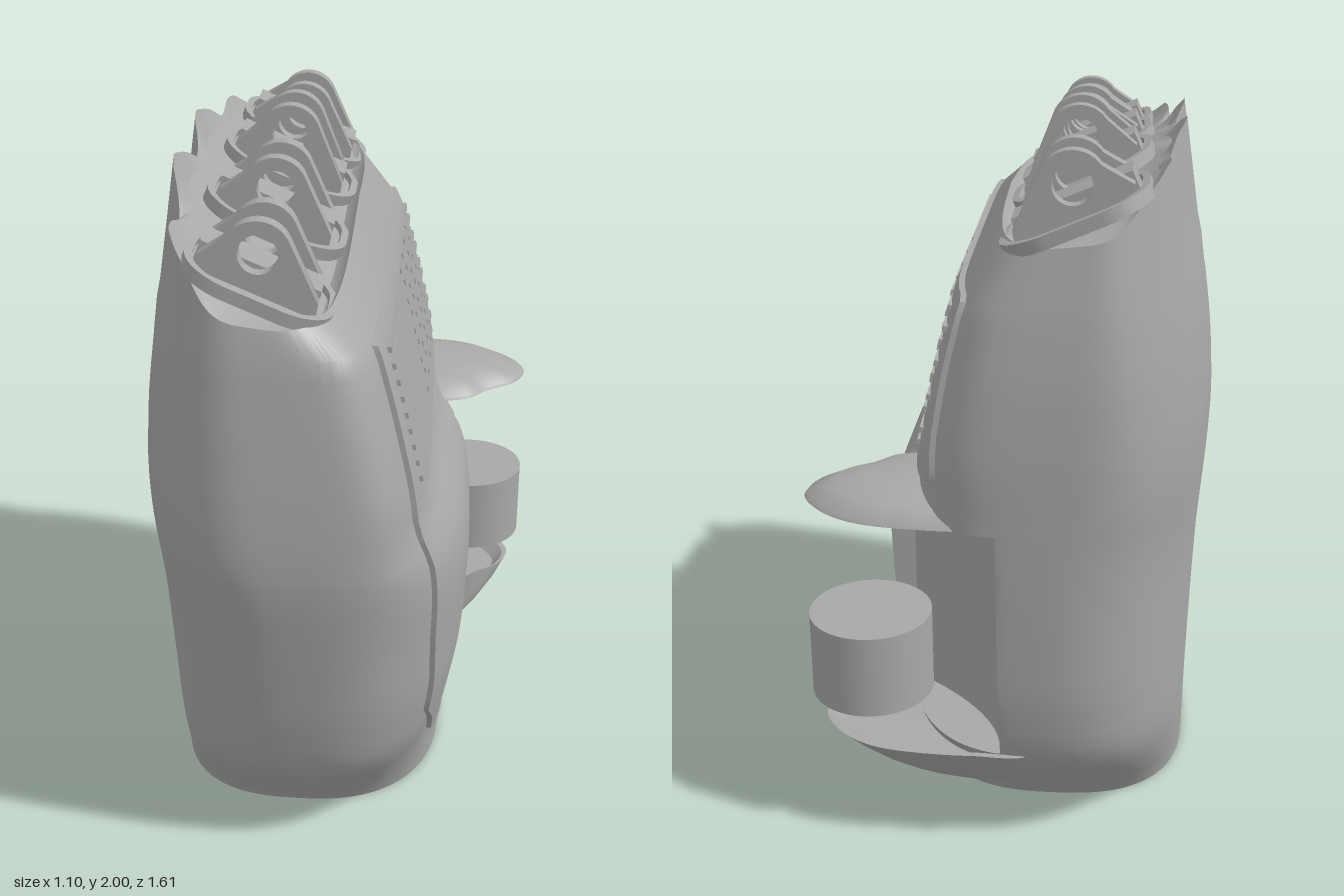
import * as THREE from 'three';
import { toCreasedNormals } from 'three/addons/utils/BufferGeometryUtils.js';

const shell = new THREE.MeshStandardMaterial({ color: 0xa8a8a8 });
shell.name = 'grey plastic';

// Piecewise linear lookup: rows are [key, ...values]
function lookup(rows, k) {
  if (k <= rows[0][0]) return rows[0].slice(1);
  for (let i = 1; i < rows.length; i++) {
    if (k <= rows[i][0]) {
      const a = rows[i - 1], b = rows[i], t = (k - a[0]) / (b[0] - a[0]);
      return a.slice(1).map((v, j) => v + (b[j + 1] - v) * t);
    }
  }
  return rows[rows.length - 1].slice(1);
}

// Skin a list of equal-length rings of [x, y, z]
function loft(rings, closed = true, crease = 0.6) {
  const n = rings[0].length, idx = [];
  for (let i = 0; i < rings.length - 1; i++) {
    for (let j = 0; j < (closed ? n : n - 1); j++) {
      const k = (j + 1) % n, a = i * n + j, b = i * n + k;
      idx.push(a, a + n, b, b, a + n, b + n);
    }
  }
  const g = new THREE.BufferGeometry();
  g.setAttribute('position', new THREE.Float32BufferAttribute(rings.flat(2), 3));
  g.setIndex(idx);
  return toCreasedNormals(g, crease);
}

function add(parent, name, geometry) {
  const m = new THREE.Mesh(geometry, shell);
  m.name = name;
  parent.add(m);
  return m;
}

// Palm sections: y, xMin, xMax, zMin, zMax, squareness of the palm side
const SECTIONS = [
  [0, -0.515, 0.29, -0.46, 0.43, 2.4], [0.1, -0.515, 0.29, -0.57, 0.52, 2.4],
  [0.2, -0.515, 0.295, -0.67, 0.61, 2.5], [0.3, -0.515, 0.31, -0.755, 0.685, 2.7],
  [0.5, -0.52, 0.345, -0.79, 0.735, 2.7], [0.8, -0.53, 0.358, -0.803, 0.785, 2.7],
  [0.95, -0.54, 0.325, -0.805, 0.807, 3.2], [1.05, -0.545, 0.245, -0.805, 0.81, 4.5],
  [1.2, -0.547, 0.21, -0.805, 0.80, 6.5], [1.4, -0.53, 0.165, -0.795, 0.78, 6.5],
  [1.6, -0.50, 0.115, -0.77, 0.755, 6], [1.75, -0.435, 0.01, -0.735, 0.735, 4],
];
// Section values eased over neighbouring heights
function section(y) {
  const [a, b, c] = [-0.045, 0, 0.045].map(d => lookup(SECTIONS, y + d));
  return b.map((v, i) => (a[i] + v + c[i]) / 3);
}

// Heights of the knuckle rim along z, palm side and back side
const FRONT_RIM = [[-0.75, 1.73], [-0.1, 1.75], [0.3, 1.71], [0.75, 1.66]];
const BACK_RIM = [[-0.74, 1.78], [-0.66, 1.89], [-0.57, 1.925], [-0.48, 1.92], [-0.38, 1.9], [-0.28, 1.94],
  [-0.19, 1.96], [-0.1, 1.93], [0, 1.88], [0.09, 1.92], [0.18, 1.94], [0.27, 1.9], [0.37, 1.83],
  [0.46, 1.86], [0.56, 1.87], [0.66, 1.84], [0.74, 1.72]];
const frontRim = z => lookup(FRONT_RIM, z)[0];
const SEG = 180;
const SLOPE = 0.43; // lean of the knuckle deck

// Point on the palm outline at height y, with tendon furrows on the back
function palmPoint(y, j) {
  const [x0, x1, z0, z1, np] = section(y);
  const th = j / SEG * Math.PI * 2, c = Math.cos(th), s = Math.sin(th), n = c > 0 ? np : 2.7;
  const r = (Math.abs(c) ** n + Math.abs(s) ** n) ** (-1 / n);
  const z = (z0 + z1) / 2 + (z1 - z0) / 2 * s * r;
  let x = (x0 + x1) / 2 + (x1 - x0) / 2 * c * r;
  if (c < 0) x -= 0.016 * Math.cos((z - 0.18) / 0.375 * Math.PI * 2) * -c * THREE.MathUtils.smoothstep(y, 0.6, 1.6);
  return [x, y, z];
}
const ring = f => Array.from({ length: SEG }, (_, j) => f(j));
const scaled = (p, s, cx, y) => [cx + (p[0] - cx) * s, y, p[2] * s];

// Thumb pocket: a concave wall set into the palm, with a straight front edge
function carve(points) {
  const edge = -0.35, inside = points.map(p => p[0] > -0.02 && p[2] < edge);
  points.forEach((p, j) => {
    const next = inside[(j + 1) % SEG], prev = inside[(j + SEG - 1) % SEG];
    if (inside[j]) {
      if (!next && p[0] > 0.2) p[2] = edge - 0.001;
      p[0] = Math.min(p[0], 0.28 * ((p[2] + 0.75) / 0.4) ** 2);
    } else if (prev && p[0] > 0.2) p[2] = edge;
  });
  return points;
}

function palmBody() {
  const rings = [[0.91, 0.06], [0.92, 0]].map(([s, y]) => ring(j => scaled(palmPoint(0, j), s, -0.11, y)));
  const ys = [0, 0.05, 0.1, 0.15, 0.2, 0.25, 0.31, 0.312];
  for (let y = 0.35; y < 0.98; y += 0.05) ys.push(y);
  ys.push(0.998, 1.0);
  for (let y = 1.05; y < 1.61; y += 0.05) ys.push(y);
  ys.forEach(y => {
    const points = ring(j => palmPoint(y, j));
    rings.push(y > 0.311 && y < 0.999 ? carve(points) : points);
  });
  // Scalloped knuckle rim and the sunken deck inside it
  const rim = ring(j => {
    const [x, , z] = palmPoint(1.75, j);
    const u = THREE.MathUtils.clamp((0.02 - x) / 0.45, 0, 1) ** 1.5, f = frontRim(z);
    return [x, f + (lookup(BACK_RIM, z)[0] - f) * u, z];
  });
  rings.push(rim);
  [[0.95, 0.6], [0.85, 0], [0.5, 0], [0.001, 0]].forEach(([s, blend]) => rings.push(rim.map(p => {
    const q = scaled(p, s, -0.21, 0), floor = frontRim(q[2]) + SLOPE * (0.02 - q[0]) - 0.05;
    q[1] = floor + (p[1] - floor) * blend;
    return q;
  })));
  return loft(rings);
}

// Palm-side surface x at (y, z)
function palmX(y, z) {
  const [x0, x1, z0, z1, n] = section(y);
  const w = Math.min(Math.abs((z - (z0 + z1) / 2) / ((z1 - z0) / 2)), 0.99);
  return (x0 + x1) / 2 + (x1 - x0) / 2 * (1 - w ** n) ** (1 / n);
}

// Grip pad edges: y, zMin, zMax
const PAD = [[0.14, -0.18, 0.22], [0.15, -0.2, 0.25], [0.18, -0.22, 0.3], [0.25, -0.235, 0.365], [0.4, -0.245, 0.505],
  [0.7, -0.26, 0.57], [1.03, -0.27, 0.62], [1.08, -0.29, 0.623], [1.1, -0.33, 0.624], [1.106, -0.7, 0.624],
  [1.125, -0.74, 0.624], [1.15, -0.745, 0.622], [1.56, -0.69, 0.605], [1.585, -0.68, 0.6], [1.6, -0.65, 0.57]];

function gripPad() {
  const ys = PAD.map(r => r[0]);
  for (let y = 0.2; y < 1.55; y += 0.05) ys.push(y);
  ys.sort((a, b) => a - b);
  const row = (y, lift) => {
    const [z0, z1] = lookup(PAD, y), pts = [];
    for (let j = 0; j <= 40; j++) {
      const z = z0 + (z1 - z0) * j / 40;
      pts.push([palmX(y, z) + lift, y, z]);
    }
    pts.unshift([pts[0][0] - 0.03, y, z0]);
    pts.push([pts[40][0] - 0.03, y, z1]);
    return pts;
  };
  return loft([row(0.14, -0.02), ...ys.map(y => row(y, 0.015)), row(1.6, -0.02)], false, 0.7);
}

// Thumb mount outline (x, z), skinned through rings of [y, xScale, zScale]
function thumbShelf(px, pz, steps) {
  const pts = [[-0.08, -0.76], [0.08, -0.775], [0.25, -0.77], [0.38, -0.745], [0.48, -0.68], [0.54, -0.58], [0.51, -0.48],
    [0.42, -0.41], [0.35, -0.34], [0.15, -0.33]].map(([x, z]) => new THREE.Vector3(x, 0, z));
  const outline = new THREE.CatmullRomCurve3(pts, true).getPoints(64).slice(0, 64);
  return loft(steps.map(([y, sx, sz]) => outline.map(p => [px + (p.x - px) * sx, y, pz + (p.z - pz) * sz])));
}

function roundedRect(w, h, r) {
  const s = new THREE.Shape();
  s.absarc(w / 2 - r, h / 2 - r, r, 0, Math.PI / 2);
  s.absarc(-w / 2 + r, h / 2 - r, r, Math.PI / 2, Math.PI);
  s.absarc(-w / 2 + r, -h / 2 + r, r, Math.PI, Math.PI * 1.5);
  s.absarc(w / 2 - r, -h / 2 + r, r, Math.PI * 1.5, Math.PI * 2);
  return s;
}

// Knuckle: tilted socket with raised lip, two holed lugs and a centre block
function knuckle(z, depth, top) {
  const g = new THREE.Group(), base = frontRim(z) + 0.05;
  g.name = 'knuckle';
  g.position.set(-0.185, base, z);
  const tilt = -Math.atan(SLOPE);
  const lip = roundedRect(0.4, depth, 0.13);
  lip.holes.push(roundedRect(0.36, depth - 0.04, 0.11));
  [['socketLip', lip, 0.035], ['socketFloor', roundedRect(0.385, depth - 0.02, 0.12), 0.018]].forEach(([name, s, h]) => {
    const geo = new THREE.ExtrudeGeometry(s, { depth: h, bevelEnabled: false, curveSegments: 10 });
    geo.rotateX(-Math.PI / 2).translate(0, -0.015, 0);
    add(g, name, toCreasedNormals(geo, 0.6)).rotation.z = tilt;
  });
  const cy = top - base - 0.085, lug = new THREE.Shape();
  lug.moveTo(-0.14, 0.04);
  lug.lineTo(0.145, -0.07);
  lug.lineTo(0.155, -0.02);
  lug.absarc(0.01, cy, 0.085, 0.35, Math.PI * 0.8);
  lug.lineTo(-0.14, 0.1);
  lug.holes.push(new THREE.Path().absarc(0.01, cy, 0.05, 0, Math.PI * 2, true));
  const lugGeo = toCreasedNormals(new THREE.ExtrudeGeometry(lug, { depth: 0.042, bevelEnabled: false, curveSegments: 20 }), 0.6);
  [0.072, -0.072].forEach(dz => add(g, 'hingeLug', lugGeo).position.set(0, 0, dz - 0.021));
  const block = add(g, 'hingeBlock', new THREE.BoxGeometry(0.32, 0.07, 0.11));
  block.position.y = 0.03;
  block.rotation.z = tilt;
  return g;
}

export function createModel() {
  const hand = new THREE.Group();
  hand.name = 'handPalm';
  add(hand, 'palmBody', palmBody());
  add(hand, 'gripPad', gripPad());

  // Grip ribs: long bars on one half, staggered short bars on the other
  const ribs = new THREE.Group();
  ribs.name = 'gripRibs';
  hand.add(ribs);
  for (let i = 0; i < 9; i++) {
    const y = 1.18 + i * 0.046;
    const rib = (z, len) => {
      const m = add(ribs, 'gripRib', new THREE.BoxGeometry(0.014, 0.016, len));
      m.position.set(palmX(y, z) + 0.012, y, z);
      m.rotation.z = 0.22;
    };
    rib(0.28, 0.52);
    for (let k = 0; k < 5; k++) rib(-0.07 - k * 0.125 - (i % 2) * 0.03, 0.1);
  }

  // Thumb mount
  add(hand, 'upperThumbShelf', thumbShelf(0.15, -0.55,
    [[1.02, 0.001], [1.02, 0.85], [1.0, 0.97], [1.0, 1], [1.01, 0.98], [1.04, 0.8], [1.055, 0.6], [1.07, 0.25],
      [1.075, 0.001]].map(([y, s]) => [y, s, s])));
  add(hand, 'lowerThumbShelf', thumbShelf(0, -0.2,
    [[0.01, 0.45, 0.42], [0.08, 0.56, 0.58], [0.13, 0.67, 0.68], [0.18, 0.77, 0.77], [0.25, 0.88, 0.88],
      [0.31, 0.95, 0.97], [0.31, 0.92, 0.94], [0.28, 0.86, 0.9], [0.27, 0.001, 0.85]]));
  add(hand, 'thumbPivot', new THREE.CylinderGeometry(0.17, 0.17, 0.24, 48)).position.set(0.375, 0.53, -0.57);

  // Finger knuckles
  [[-0.58, 0.33, 1.965], [-0.195, 0.33, 2.0], [0.175, 0.33, 1.96], [0.56, 0.33, 1.92]]
    .forEach(k => hand.add(knuckle(...k)));

  // Wrist plate with a hexagonal socket
  const plate = new THREE.Shape(ring(j => scaled(palmPoint(0, j), 0.93, -0.11, 0)).map(p => new THREE.Vector2(p[0], p[2])));
  const hex = Array.from({ length: 6 }, (_, i) => new THREE.Vector2(
    -0.11 + 0.29 * Math.cos(i * Math.PI / 3 + Math.PI / 6), 0.3 * Math.sin(i * Math.PI / 3 + Math.PI / 6)));
  plate.holes.push(new THREE.Path(hex));
  const plateGeo = new THREE.ExtrudeGeometry(plate, { depth: 0.15, bevelEnabled: false });
  add(hand, 'wristPlate', toCreasedNormals(plateGeo.rotateX(Math.PI / 2).translate(0, 0.19, 0), 0.6));
  add(hand, 'wristSocketFloor', new THREE.CircleGeometry(0.32, 24).rotateX(Math.PI / 2)).position.set(-0.11, 0.18, 0);
  return hand;
}
